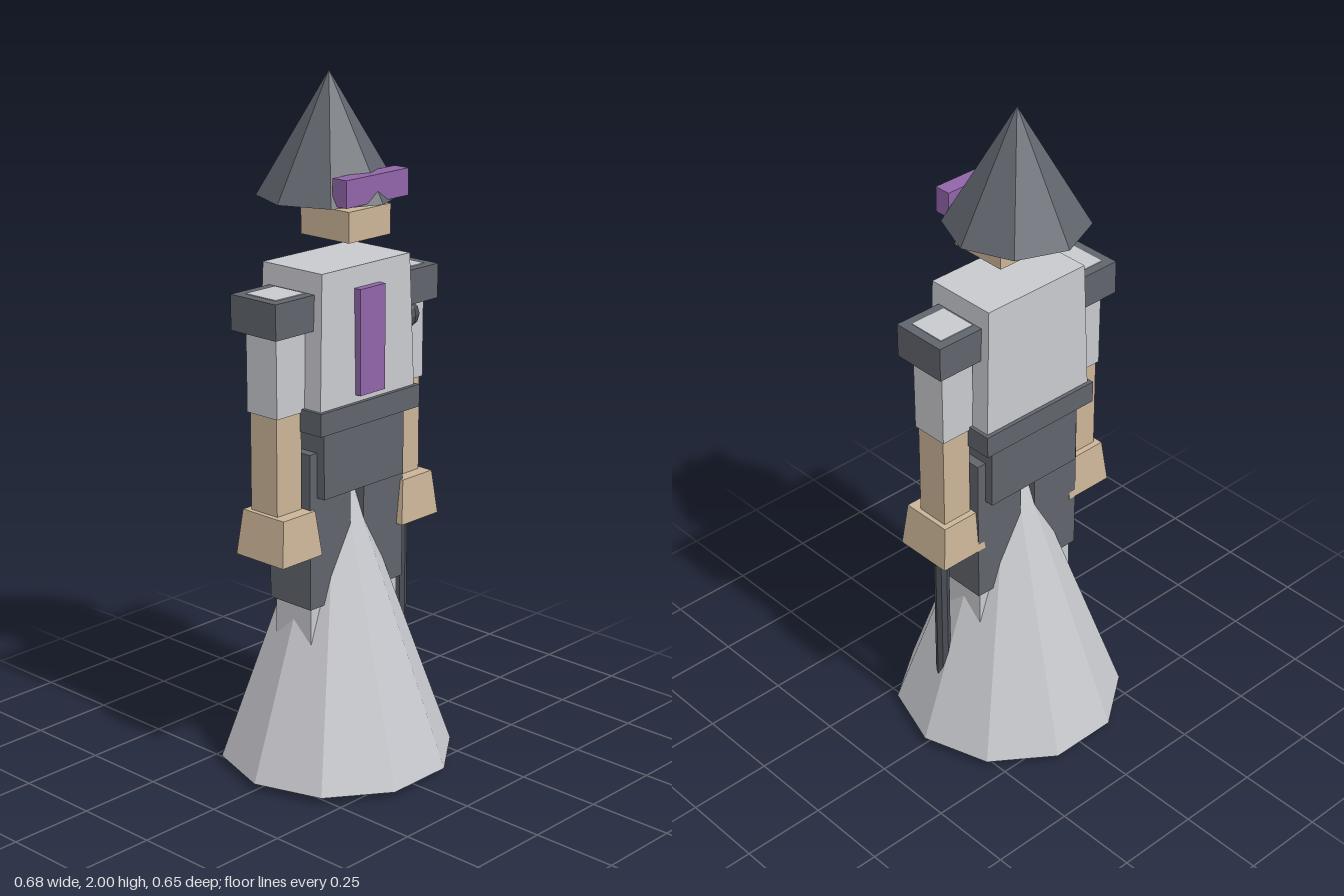
import * as THREE from 'three';

const mat = (name, color) => {
  const m = new THREE.MeshStandardMaterial({ color, flatShading: true });
  m.name = name;
  return m;
};

export function createModel() {
  const dark = mat('slate', 0x60646c);
  const light = mat('paleGrey', 0xc8c9ce);
  const skin = mat('tan', 0xcab497);
  const purple = mat('purple', 0x9065a8);
  const iron = mat('darkIron', 0x4a4e56);

  const model = new THREE.Group();
  model.name = 'robedFigure';

  const add = (name, geometry, material, x = 0, y = 0, z = 0) => {
    const mesh = new THREE.Mesh(geometry, material);
    mesh.name = name;
    mesh.position.set(x, y, z);
    model.add(mesh);
    return mesh;
  };

  // Box given by its limits; the top face may be scaled to taper it
  const box = (name, material, [x0, x1], [y0, y1], [z0, z1], taperX = 1, taperZ = 1) => {
    const g = new THREE.BoxGeometry(x1 - x0, y1 - y0, z1 - z0);
    const p = g.attributes.position;
    for (let i = 0; i < p.count; i++) {
      if (p.getY(i) > 0) {
        p.setX(i, p.getX(i) * taperX);
        p.setZ(i, p.getZ(i) * taperZ);
      }
    }
    g.computeVertexNormals();
    return add(name, g, material, (x0 + x1) / 2, (y0 + y1) / 2, (z0 + z1) / 2);
  };

  // Hat and its band
  add('hat', new THREE.ConeGeometry(0.2, 0.34, 8), dark, 0, 1.83, -0.03);
  box('hatBand', purple, [-0.123, 0.123], [1.665, 1.74], [0.1, 0.15]);

  // Head and trunk
  box('head', skin, [-0.083, 0.083], [1.56, 1.645], [-0.057, 0.122]);
  box('torso', light, [-0.19, 0.19], [1.1, 1.49], [-0.118, 0.118], 0.925, 0.94);
  box('chestStripe', purple, [-0.05, 0.05], [1.13, 1.43], [0.105, 0.135]);
  box('belt', dark, [-0.2, 0.2], [1.045, 1.11], [-0.13, 0.13]);
  box('hips', dark, [-0.162, 0.162], [0.85, 1.045], [-0.105, 0.105]);

  // Ten-sided skirt with a corner on each side
  const skirt = add('skirt', new THREE.ConeGeometry(0.34, 0.955, 10), light, 0, 0.4975, 0);
  skirt.rotation.y = Math.PI / 10;

  // Limbs, mirrored
  for (const [side, s] of [['left', 1], ['right', -1]]) {
    const span = (a, b) => (s > 0 ? [a, b] : [-b, -a]);
    box(side + 'Thigh', dark, span(0.027, 0.19), [0.525, 0.98], [-0.078, 0.078]);
    box(side + 'Shin', light, span(0.04, 0.178), [0.06, 0.525], [-0.068, 0.068]);
    box(side + 'Foot', dark, span(0.035, 0.185), [0, 0.06], [-0.075, 0.22]);
    box(side + 'ShoulderPad', dark, span(0.175, 0.325), [1.33, 1.43], [-0.085, 0.085]);
    box(side + 'UpperArm', light, span(0.187, 0.295), [1.1, 1.432], [-0.057, 0.057], 1.03, 1);
    box(side + 'Forearm', skin, span(0.195, 0.29), [0.8, 1.105], [-0.05, 0.05]);
    box(side + 'Hand', skin, span(0.165, 0.32), [0.69, 0.82], [-0.08, 0.1], 0.8, 0.87);
  }

  // Staff held in the left hand
  add('staff', new THREE.CylinderGeometry(0.022, 0.022, 1.1, 8), iron, 0.242, 0.72, 0.022);
  add('staffKnob', new THREE.SphereGeometry(0.042, 8, 6), iron, 0.242, 1.29, 0.035);

  return model;
}
